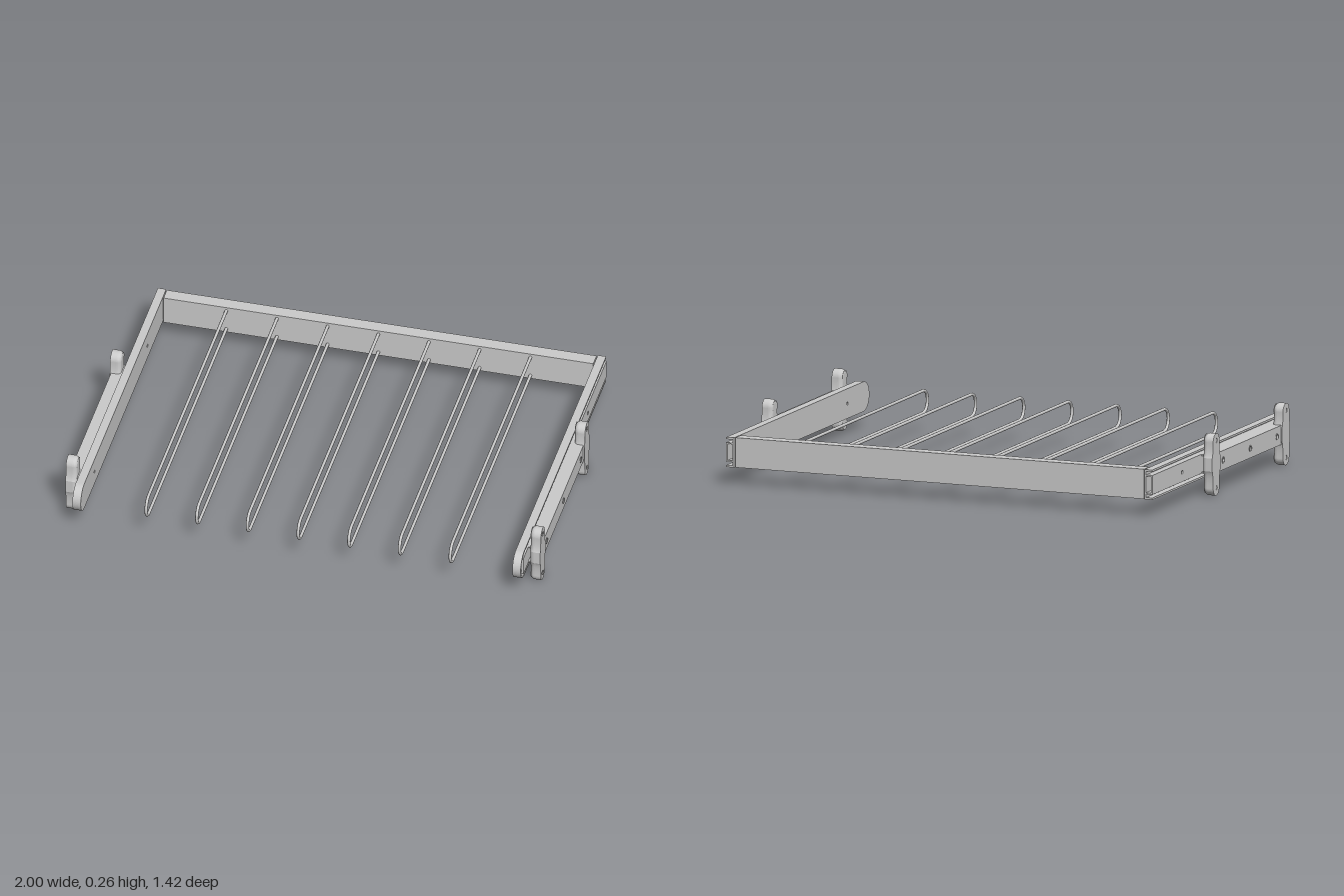
import * as THREE from 'three';

const MAT = new THREE.MeshStandardMaterial({ color: 0xcccccc, side: THREE.DoubleSide });
const MID = 0.132; // height of the rail centre line

// Extrude a (z, y) outline from xOuter towards the middle of the rack
function sideExtrude(shape, xOuter, depth, bevel) {
  const opts = { depth, bevelEnabled: false, curveSegments: 16, ...bevel };
  const g = new THREE.ExtrudeGeometry(shape, opts);
  g.rotateY(-Math.PI / 2);
  g.computeBoundingBox();
  return g.translate(xOuter - g.boundingBox.max.x, 0, 0);
}

// Mirror a geometry in x, keeping its faces turned outwards
function mirrorX(geometry) {
  const g = geometry.index ? geometry.toNonIndexed() : geometry.clone();
  g.scale(-1, 1, 1);
  for (const name of ['position', 'normal']) {
    const a = g.attributes[name];
    for (let i = 0; i < a.count; i += 3) {
      const p = new THREE.Vector3().fromBufferAttribute(a, i + 1);
      const q = new THREE.Vector3().fromBufferAttribute(a, i + 2);
      a.setXYZ(i + 1, q.x, q.y, q.z);
      a.setXYZ(i + 2, p.x, p.y, p.z);
    }
  }
  return g;
}

function addHole(shape, z, y, r) {
  shape.holes.push(new THREE.Path().absarc(z, y, r, 0, Math.PI * 2, true));
}

function rect(z0, y0, z1, y1) {
  return new THREE.Shape([[z0, y0], [z1, y0], [z1, y1], [z0, y1]].map(p => new THREE.Vector2(...p)));
}

// Rail outline: square at the back, rounded at the front
function webShape() {
  const s = new THREE.Shape();
  s.moveTo(-0.71, 0.07);
  s.lineTo(0.65, 0.07);
  s.absellipse(0.65, MID, 0.06, 0.062, -Math.PI / 2, Math.PI / 2, false);
  s.lineTo(-0.71, 0.194);
  s.closePath();
  addHole(s, -0.4, MID, 0.007);
  addHole(s, 0.48, MID, 0.007);
  return s;
}

// U-shaped lip running round the rail and open at the back
function lipShape() {
  const s = new THREE.Shape();
  s.moveTo(-0.71, 0.07);
  s.lineTo(0.65, 0.07);
  s.absellipse(0.65, MID, 0.06, 0.062, -Math.PI / 2, Math.PI / 2, false);
  s.lineTo(-0.71, 0.194);
  s.lineTo(-0.71, 0.186);
  s.lineTo(0.65, 0.186);
  s.absellipse(0.65, MID, 0.052, 0.054, Math.PI / 2, -Math.PI / 2, true);
  s.lineTo(-0.71, 0.078);
  s.closePath();
  return s;
}

// Mounting bracket: wide waist with a rounded lug and screw hole at each end
function bracketShape(z) {
  const s = new THREE.Shape();
  const r = 0.033, w = 0.043, top = 0.225, low = 0.033;
  s.moveTo(z + w, 0.105);
  s.lineTo(z + w, 0.16);
  s.quadraticCurveTo(z + r, 0.18, z + r, top);
  s.absarc(z, top, r, 0, Math.PI, false);
  s.quadraticCurveTo(z - r, 0.18, z - w, 0.16);
  s.lineTo(z - w, 0.105);
  s.quadraticCurveTo(z - r, 0.085, z - r, low);
  s.absarc(z, low, r, Math.PI, Math.PI * 2, false);
  s.quadraticCurveTo(z + r, 0.085, z + w, 0.105);
  addHole(s, z, 0.228, 0.01);
  addHole(s, z, 0.032, 0.01);
  return s;
}

// Named geometries for the left-hand side (+x)
function sideParts() {
  const parts = [];
  const add = (name, g) => parts.push([name, g]);

  // Sliding rail: inner web, lip and inner runner
  add('railWeb', sideExtrude(webShape(), 0.917, 0.008));
  add('railLip', sideExtrude(lipShape(), 0.944, 0.034));
  const runner = rect(-0.71, 0.092, 0.67, 0.172);
  addHole(runner, -0.4, MID, 0.008);
  add('runner', sideExtrude(runner, 0.946, 0.008));
  for (const y of [0.092, 0.166]) {
    add('runnerFlange', sideExtrude(rect(-0.71, y, 0.67, y + 0.006), 0.942, 0.025));
  }

  // Fixed rail: perforated face with two inward flanges
  const face = rect(-0.2, 0.092, 0.59, 0.172);
  for (const z of [0.48, 0.2, -0.085]) {
    addHole(face, z, MID, 0.009);
    const ring = new THREE.TorusGeometry(0.012, 0.002, 6, 20);
    add('screwRing', ring.rotateY(Math.PI / 2).translate(0.995, MID, z));
  }
  add('fixedRailFace', sideExtrude(face, 0.995, 0.008));
  for (const y of [0.092, 0.166]) {
    add('fixedRailFlange', sideExtrude(rect(-0.2, y, 0.59, y + 0.006), 0.99, 0.045));
  }

  // Brackets: flat outer plate over a body with rounded inner edges
  for (const z of [0.563, -0.17]) {
    const shape = bracketShape(z);
    add('bracketPlate', sideExtrude(shape, 1, 0.024));
    add('bracketBody', sideExtrude(shape, 0.998, 0.007, {
      bevelEnabled: true, bevelThickness: 0.018, bevelSize: 0.015, bevelOffset: -0.015, bevelSegments: 5,
    }));
  }
  return parts;
}

// Hairpin rod: two straight runs joined by a half circle at the front
function hairpinGeometry() {
  const r = 0.046, z0 = -0.66, z1 = 0.638, rod = 0.0065;
  const path = new THREE.CurvePath();
  const v = (y, z) => new THREE.Vector3(0, y, z);
  path.add(new THREE.LineCurve3(v(MID + r, z0), v(MID + r, z1)));
  const arc = [];
  for (let i = 0; i <= 12; i++) {
    const a = Math.PI / 2 - (Math.PI * i) / 12;
    arc.push(v(MID + r * Math.sin(a), z1 + r * Math.cos(a)));
  }
  for (let i = 0; i < 12; i++) path.add(new THREE.LineCurve3(arc[i], arc[i + 1]));
  path.add(new THREE.LineCurve3(v(MID - r, z1), v(MID - r, z0)));
  return new THREE.TubeGeometry(path, 300, rod, 10, false);
}

export function createModel() {
  const model = new THREE.Group();
  model.name = 'pullOutRack';
  const add = (parent, name, g) => {
    const m = new THREE.Mesh(g, MAT);
    m.name = name;
    parent.add(m);
    return m;
  };

  // Left and right slides
  const left = new THREE.Group(), right = new THREE.Group();
  left.name = 'leftSlide';
  right.name = 'rightSlide';
  for (const [name, g] of sideParts()) {
    add(left, name, g);
    add(right, name, mirrorX(g));
  }
  model.add(left, right);

  // Back bar, with narrower ends meeting the rails
  add(model, 'backBar', new THREE.BoxGeometry(1.81, 0.124, 0.056)).position.set(0, MID, -0.677);
  add(model, 'backBarTenon', new THREE.BoxGeometry(1.826, 0.11, 0.04)).position.set(0, MID, -0.677);

  // Seven hanging rods
  const hairpin = hairpinGeometry();
  for (let i = -3; i <= 3; i++) add(model, 'hangingRod', hairpin).position.x = i * 0.2135;

  return model;
}
